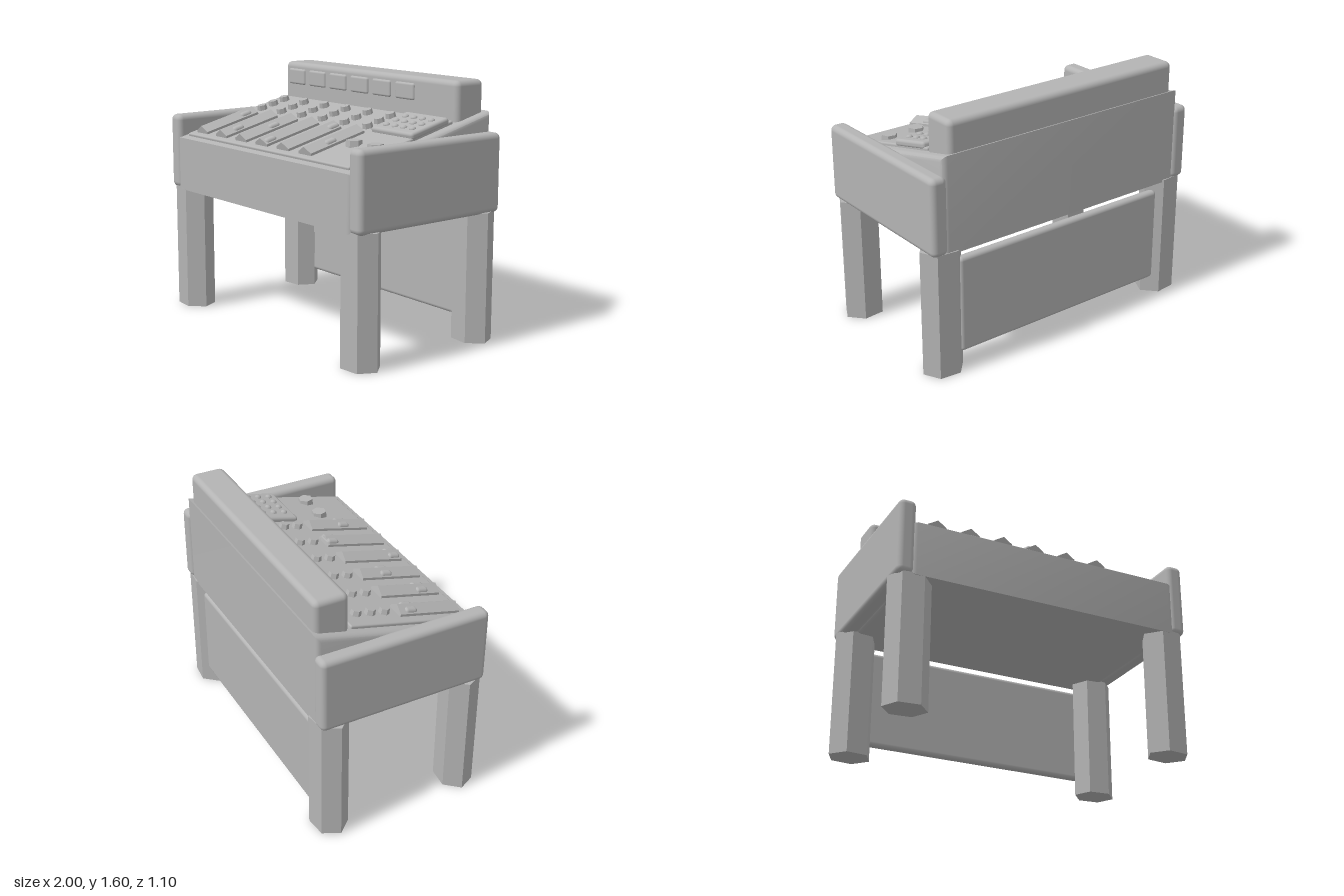
import * as THREE from 'three';
import { RoundedBoxGeometry } from 'three/addons/geometries/RoundedBoxGeometry.js';
import { toCreasedNormals } from 'three/addons/utils/BufferGeometryUtils.js';

const grey = new THREE.MeshStandardMaterial({ color: 0xb4b4b4 });
grey.name = 'grey';

const SLOPE = Math.atan(0.245); // tilt of the control surface

function add(parent, name, geometry, x, y, z) {
  const mesh = new THREE.Mesh(geometry, grey);
  mesh.name = name;
  mesh.position.set(x, y, z);
  parent.add(mesh);
  return mesh;
}

const rounded = (w, h, d, r) => new RoundedBoxGeometry(w, h, d, 3, r);

// Faceted hexagonal prism, axis along y
function hex(rTop, rBottom, h, start = 0) {
  const g = new THREE.CylinderGeometry(rTop, rBottom, h, 6, 1, false, start).toNonIndexed();
  g.computeVertexNormals();
  return g;
}

// Wedge-shaped cabinet: side profile (z, y) swept along x with soft edges
function cabinetGeometry() {
  const half = 0.9, bevel = 0.035;
  const shape = new THREE.Shape([[-0.54, 0.795], [0.55, 0.795], [0.55, 1.14], [-0.54, 1.405]]
    .map(([z, y]) => new THREE.Vector2(z, y)));
  const g = new THREE.ExtrudeGeometry(shape, {
    depth: 2 * (half - bevel), bevelThickness: bevel, bevelSize: bevel,
    bevelOffset: -bevel, bevelSegments: 3,
  });
  g.translate(0, 0, -(half - bevel));
  g.rotateY(-Math.PI / 2);
  return toCreasedNormals(g, 0.7);
}

export function createModel() {
  const model = new THREE.Group();
  model.name = 'mixingConsole';

  add(model, 'cabinet', cabinetGeometry(), 0, 0, 0);

  // Side cheeks and hexagonal legs
  for (const sx of [-1, 1]) {
    add(model, 'sideCheek', rounded(0.11, 0.485, 1.1, 0.035), sx * 0.928, 1.0425, 0);
    for (const sz of [-1, 1]) {
      const g = hex(0.136, 0.136, 0.81, Math.PI / 6 + sx * sz * 0.12);
      g.scale(1, 1, 0.84);
      g.computeVertexNormals();
      add(model, 'leg', g, sx * 0.865, 0.405, sz * 0.445);
    }
  }
  add(model, 'modestyPanel', rounded(1.56, 0.625, 0.06, 0.025), 0, 0.4225, -0.49);

  // Meter bridge along the back
  add(model, 'meterBridge', rounded(1.695, 0.29, 0.22, 0.035), -0.002, 1.45, -0.417);

  // Sloped control surface; local y points out of the panel
  const surface = new THREE.Group();
  surface.name = 'controlSurface';
  surface.position.y = 1.273;
  surface.rotation.x = SLOPE;
  model.add(surface);
  const cos = Math.cos(SLOPE), sin = Math.sin(SLOPE);
  // Places a part so its centre lies at model depth z and height h off the panel
  const onPanel = (name, g, x, h, z) => add(surface, name, g, x, h, (z - h * sin) / cos);

  onPanel('controlPlate', rounded(1.665, 0.036, 0.82, 0.01), 0, 0.002, 0.107);

  // Channel strips: meter, three knobs, fader rail and cap
  const capDepths = [0.15, 0.36, 0.24, 0.425, 0.11, 0.305];
  const knob = hex(0.03, 0.034, 0.035, Math.PI / 6);
  const rail = hex(0.07, 0.07, 0.415);
  rail.rotateX(-Math.PI / 2);
  rail.rotateZ(Math.PI);
  const railCap = rounded(0.105, 0.06, 0.085, 0.02);
  const meter = rounded(0.175, 0.105, 0.04, 0.014);
  capDepths.forEach((capZ, i) => {
    const x = -0.712 + i * 0.2195;
    add(model, 'meter', meter, x, 1.499, -0.315);
    for (const z of [-0.19, -0.097, -0.004]) onPanel('channelKnob', knob, x, 0.035, z);
    onPanel('faderRail', rail, x, 0, 0.266);
    onPanel('faderCap', railCap, x, 0.03, capZ);
  });

  // Keypad with a grid of small buttons
  onPanel('keypad', rounded(0.37, 0.045, 0.305, 0.018), 0.652, 0.028, -0.108);
  const button = new THREE.SphereGeometry(0.022, 8, 4, 0, Math.PI * 2, 0, Math.PI / 2);
  button.scale(1, 0.7, 1);
  for (let c = 0; c < 4; c++) {
    for (let r = 0; r < 3; r++) {
      onPanel('keypadButton', button, 0.545 + c * 0.076, 0.05, -0.17 + r * 0.075);
    }
  }

  // Two master knobs
  for (const x of [0.555, 0.748]) {
    add(model, 'masterKnob', hex(0.048, 0.054, 0.06, 0.35), x, 1.235, 0.24);
  }

  return model;
}
